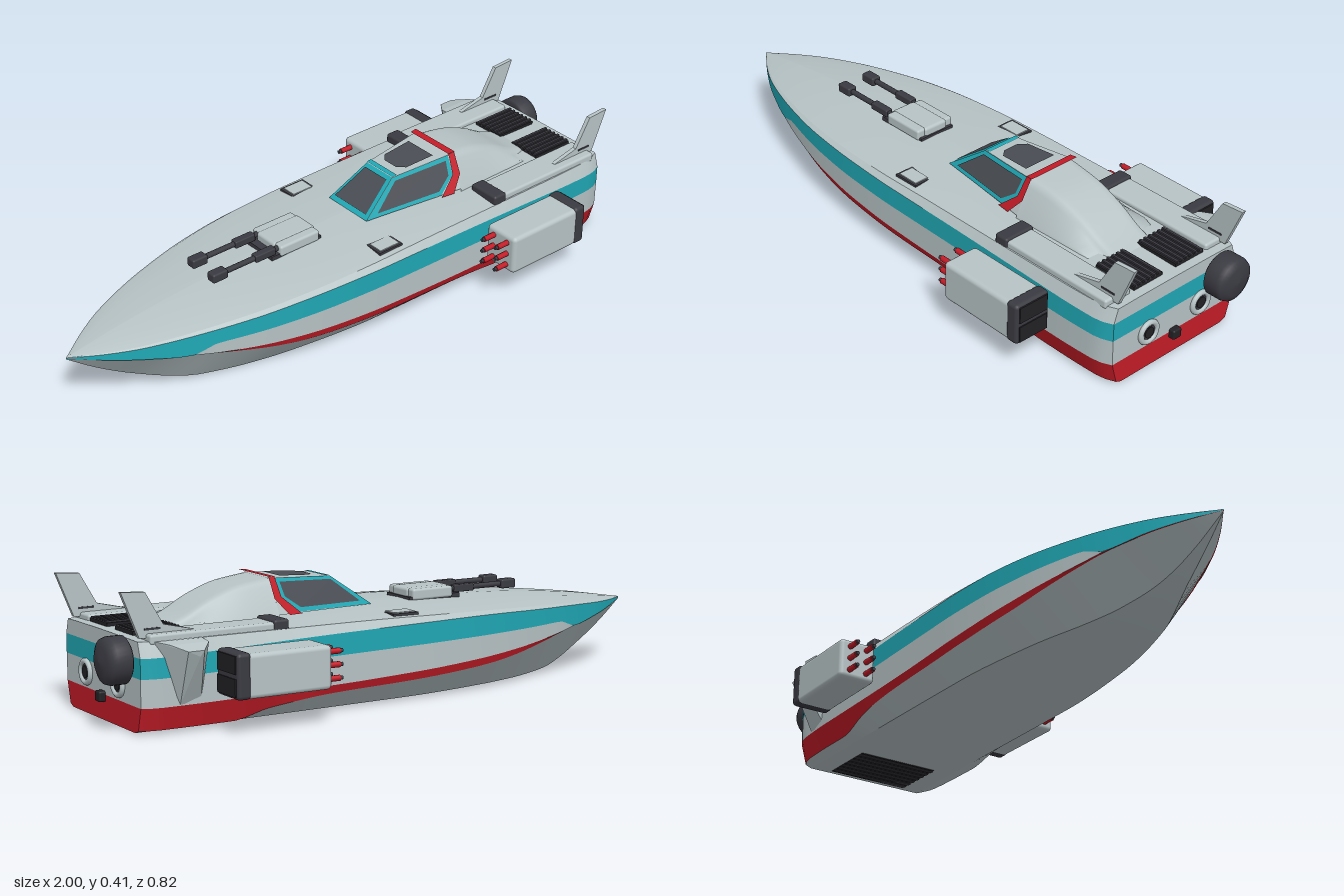
import * as THREE from 'three';
import { RoundedBoxGeometry } from 'three/addons/geometries/RoundedBoxGeometry.js';
import { ConvexGeometry } from 'three/addons/geometries/ConvexGeometry.js';

const mat = (name, color) => {
  const m = new THREE.MeshStandardMaterial({ color });
  m.name = name;
  return m;
};
const V = (x, y, z) => new THREE.Vector3(x, y, z);

// Smooth function through a few (x, value) keys, with slopes limited to avoid overshoot
function track(...k) {
  const d = k.slice(1).map((p, i) => (p[1] - k[i][1]) / (p[0] - k[i][0]));
  const m = k.map((p, i) => i === 0 ? d[0] : i === k.length - 1 ? d[i - 1]
    : d[i - 1] * d[i] <= 0 ? 0 : 2 * d[i - 1] * d[i] / (d[i - 1] + d[i]));
  return x => {
    let i = 0;
    while (i < k.length - 2 && x > k[i + 1][0]) i++;
    const h = k[i + 1][0] - k[i][0], t = Math.min(1, Math.max(0, (x - k[i][0]) / h));
    return k[i][1] * (1 + 2 * t) * (1 - t) ** 2 + k[i + 1][1] * t * t * (3 - 2 * t)
      + h * (m[i] * t * (1 - t) ** 2 - m[i + 1] * t * t * (1 - t));
  };
}

// Surface through rows of points; flip reverses the facing
function grid(rows, flip = false) {
  const n = rows[0].length, idx = [];
  for (let i = 0; i < rows.length - 1; i++) for (let j = 0; j < n - 1; j++) {
    const a = i * n + j, b = a + n, c = a + 1, d = b + 1;
    idx.push(...(flip ? [a, b, c, b, d, c] : [a, c, b, b, c, d]));
  }
  const g = new THREE.BufferGeometry().setFromPoints(rows.flat());
  g.setIndex(idx);
  g.computeVertexNormals();
  return g;
}

// Hull lines along the length
const width = track([-1, 0], [-0.9, 0.07], [-0.8, 0.125], [-0.6, 0.197], [-0.4, 0.244], [-0.2, 0.268], [0, 0.276], [0.7, 0.276], [0.86, 0.27], [0.91, 0.25]);
const deckMid = track([-1, 0.206], [-0.8, 0.237], [-0.5, 0.265], [-0.2, 0.276], [0.1, 0.281], [0.5, 0.278], [0.91, 0.27]);
const deckEdge = track([-1, 0.205], [-0.6, 0.238], [-0.2, 0.257], [0.2, 0.265], [0.91, 0.268]);
const stripeTop = track([-1, 0.204], [-0.6, 0.231], [-0.2, 0.244], [0.2, 0.24], [0.91, 0.222]);
const stripeLow = track([-1, 0.202], [-0.8, 0.176], [-0.68, 0.16], [-0.6, 0.183], [-0.3, 0.181], [0.2, 0.174], [0.91, 0.163]);
const redTop = track([-1, 0.202], [-0.8, 0.176], [-0.68, 0.16], [-0.6, 0.147], [-0.3, 0.114], [0, 0.096], [0.3, 0.086], [0.91, 0.08]);
const redLow = track([-1, 0.201], [-0.8, 0.175], [-0.68, 0.159], [-0.6, 0.143], [-0.3, 0.09], [0, 0.07], [0.3, 0.06], [0.5, 0.04], [0.62, 0.012], [0.91, 0.012]);
const keel = track([-1, 0.2], [-0.9, 0.13], [-0.8, 0.075], [-0.7, 0.036], [-0.6, 0.014], [-0.45, 0.006], [0, 0.004], [0.91, 0.004]);
const redIn = track([-1, 0.97], [0.4, 0.96], [0.62, 0.91], [0.91, 0.92]);
const flat = track([-1, 0], [-0.8, 0.035], [-0.6, 0.1], [-0.3, 0.17], [0, 0.2], [0.91, 0.21]);

function section(x) {
  const w = width(x), c = deckMid(x), e = deckEdge(x);
  return [[0, c], [w * 0.55, c - (c - e) * 0.25], [w * 0.94, e], [w, stripeTop(x)], [w, stripeLow(x)],
    [w * 0.995, redTop(x)], [w * redIn(x), redLow(x)], [flat(x), keel(x)], [0, keel(x)]];
}

export function createModel() {
  const root = new THREE.Group();
  root.name = 'patrolBoat';
  const grey = mat('hullGrey', 0xb8c4c6), teal = mat('tealPaint', 0x20a8b5), red = mat('redPaint', 0xc41c27);
  const dark = mat('darkMetal', 0x3a3a42), glass = mat('darkGlass', 0x4a4d54), black = mat('ventBlack', 0x222226);

  const add = (name, geo, m, x = 0, y = 0, z = 0) => {
    const o = new THREE.Mesh(geo, m);
    o.name = name;
    o.position.set(x, y, z);
    root.add(o);
    return o;
  };
  const box = (name, m, sx, sy, sz, x, y, z, r = 0) =>
    add(name, r ? new RoundedBoxGeometry(sx, sy, sz, 2, r) : new THREE.BoxGeometry(sx, sy, sz), m, x, y, z);
  const rod = (name, m, r, len, x, y, z, sides = 16) =>
    add(name, new THREE.CylinderGeometry(r, r, len, sides).rotateZ(-Math.PI / 2), m, x, y, z);

  // Hull: one lofted strip per paint band, closed by a matching transom
  const xs = Array.from({ length: 65 }, (_, i) => -1 + 1.91 * i / 64);
  const bands = [['deck', 0, 2, grey], ['gunwale', 2, 3, grey], ['tealStripe', 3, 4, teal], ['hullSide', 4, 5, grey],
    ['redStripe', 5, 6, red], ['chine', 6, 7, grey], ['hullBottom', 7, 8, grey]];
  for (const [name, a, b, m] of bands) {
    for (const s of [1, -1]) {
      const rows = xs.map(x => section(x).slice(a, b + 1).map(p => V(x, p[1], s * p[0])));
      add(name, grid(rows, s < 0), a === 6 ? grey : m);
    }
    const end = section(0.91).slice(a, b + 1);
    add(name + 'Transom', grid([1, -1].map(s => end.map(p => V(0.91, p[1], s * p[0])))), a === 6 ? red : m);
  }

  // Flat polygon on a four-cornered face, in face coordinates, lifted off it
  const panel = (name, m, [p00, p10, p01, p11], uv, lift, mirror) => {
    const n = p10.clone().sub(p00).cross(p01.clone().sub(p00)).normalize().multiplyScalar(lift);
    const pts = uv.map(([u, v]) => {
      const p = p00.clone().lerp(p10, u).lerp(p01.clone().lerp(p11, u), v).add(n);
      if (mirror) p.z *= -1;
      return p;
    });
    if (mirror) pts.reverse();
    const g = new THREE.BufferGeometry().setFromPoints(pts);
    g.setIndex(pts.slice(2).flatMap((_, i) => [0, i + 1, i + 2]));
    g.computeVertexNormals();
    add(name, g, m);
  };

  // Cockpit with framed windows and a red arch behind them
  const at = (p, s) => V(p[0], p[1], p[2] * s);
  const b0 = [0.05, 0.282, 0.09], b2 = [0.4, 0.285, 0.14], t0 = [0.18, 0.375, 0.06], t1 = [0.4, 0.388, 0.0856];
  const side = [at(b0, 1), at(b2, 1), at(t0, 1), at(t1, 1)];
  const front = [at(b0, -1), at(b0, 1), at(t0, -1), at(t0, 1)];
  const roof = [at(t0, 1), at(t1, 1), at(t0, -1), at(t1, -1)];
  const full = [[0, 0], [1, 0], [1, 1], [0, 1]];
  for (const mirror of [false, true]) {
    panel('cockpitSide', grey, side, full, 0, mirror);
    panel('sideWindowFrame', teal, side, [[0, 0], [0.79, 0.02], [0.95, 0.45], [0.95, 1], [0, 1]], 0.003, mirror);
    panel('sideWindow', glass, side, [[0.08, 0.12], [0.76, 0.13], [0.89, 0.47], [0.89, 0.88], [0.08, 0.88]], 0.006, mirror);
    panel('archFoot', red, side, [[0.78, -0.05], [0.91, -0.05], [1.03, 0.42], [0.94, 0.46]], 0.008, mirror);
    panel('archPost', red, side, [[0.94, 0.46], [1.03, 0.42], [1.05, 1.03], [0.95, 1.03]], 0.008, mirror);
  }
  panel('windscreenFrame', teal, front, full, 0, false);
  panel('windscreen', glass, front, [[0.07, 0.1], [0.93, 0.1], [0.9, 0.9], [0.1, 0.9]], 0.004, false);
  panel('cockpitRoof', grey, roof, full, 0, false);
  panel('roofWindowFrame', teal, roof, [[0, 0], [0.08, 0], [0.08, 1], [0, 1]], 0.003, false);
  panel('roofWindow', glass, roof, [[0.2, 0.3], [0.3, 0.12], [0.78, 0.14], [0.78, 0.86], [0.3, 0.88], [0.2, 0.7]], 0.004, false);
  panel('archTop', red, roof, [[0.95, -0.03], [1.06, -0.03], [1.06, 1.03], [0.95, 1.03]], 0.007, false);

  // Fairing sloping down behind the cockpit
  const ridge = track([0.4, 0.388], [0.5, 0.374], [0.6, 0.34], [0.69, 0.293], [0.76, 0.268]);
  for (const s of [1, -1]) {
    const rows = Array.from({ length: 19 }, (_, i) => {
      const x = 0.4 + 0.02 * i, h = ridge(x), f = 1 - 0.25 * (x - 0.4);
      return [[0, h], [0.06, h], [0.078, h - 0.002], [0.088, h - 0.008], [0.096, h - 0.02], [0.14, Math.min(0.285, h - 0.022)], [0.145, 0.25]]
        .map(p => V(x, p[1], s * p[0] * f));
    });
    add('fairing', grid(rows, s < 0), grey);
  }

  // Tail fin outline, extruded sideways
  const finShape = new THREE.Shape([[0.73, 0.275], [0.9, 0.275], [0.955, 0.41], [0.88, 0.405], [0.825, 0.31], [0.73, 0.288]]
    .map(p => new THREE.Vector2(...p)));
  const finGeo = new THREE.ExtrudeGeometry(finShape, { depth: 0.014, bevelEnabled: false });

  for (const s of [1, -1]) {
    // Deck fittings
    box('rearDeckSlab', grey, 0.42, 0.03, 0.1, 0.67, 0.272, s * 0.205, 0.008);
    add('tailFin', finGeo, grey, 0, 0, s * 0.22 - 0.007);
    box('finInset', dark, 0.05, 0.006, 0.018, 0.86, 0.3, s * 0.22);
    box('hatchRim', dark, 0.09, 0.012, 0.064, 0.02, 0.266, s * 0.21);
    box('hatchLid', grey, 0.074, 0.012, 0.05, 0.02, 0.269, s * 0.21);
    box('deckIntake', dark, 0.05, 0.035, 0.11, 0.46, 0.277, s * 0.205, 0.008);
    box('deckVent', black, 0.15, 0.014, 0.115, 0.805, 0.274, s * 0.085);
    for (let i = 0; i < 6; i++) box('ventSlat', dark, 0.15, 0.008, 0.008, 0.805, 0.282, s * (0.038 + i * 0.019));

    // Engine pod with split exhaust and red prongs
    box('podBody', grey, 0.28, 0.13, 0.125, 0.52, 0.17, s * 0.3475, 0.014);
    box('podMount', grey, 0.2, 0.08, 0.05, 0.52, 0.17, s * 0.275);
    box('podCollar', dark, 0.045, 0.134, 0.128, 0.667, 0.172, s * 0.3475, 0.012);
    for (const y of [0.14, 0.205]) box('podExhaust', black, 0.006, 0.052, 0.106, 0.69, y, s * 0.3475);
    for (const y of [0.13, 0.17, 0.21]) for (const z of [0.318, 0.377]) {
      rod('podProng', red, 0.009, 0.05, 0.362, y, s * z, 10);
      rod('prongTip', dark, 0.006, 0.012, 0.334, y, s * z, 10);
    }

    // Stern nozzles
    add('nozzleRing', new THREE.TorusGeometry(0.032, 0.009, 10, 24).rotateY(Math.PI / 2), grey, 0.913, 0.128, s * 0.108);
    rod('nozzleCore', dark, 0.029, 0.01, 0.91, 0.128, s * 0.108, 24);
    rod('nozzleThroat', black, 0.018, 0.004, 0.916, 0.128, s * 0.108, 20);

    // Twin deck guns
    rod('gunBarrel', dark, 0.009, 0.24, -0.37, 0.298, s * 0.05, 10);
    box('gunSleeve', dark, 0.075, 0.024, 0.026, -0.32, 0.298, s * 0.05, 0.004);
    box('gunMuzzle', dark, 0.055, 0.03, 0.034, -0.492, 0.298, s * 0.05, 0.006);
    box('turretCheek', grey, 0.15, 0.036, 0.036, -0.195, 0.292, s * 0.053, 0.008);
  }
  box('turretBody', grey, 0.16, 0.042, 0.09, -0.195, 0.29, 0, 0.01);
  box('turretBase', dark, 0.19, 0.02, 0.13, -0.205, 0.275, 0);

  // Single side fin
  add('sideFin', new ConvexGeometry([V(0.72, 0.268, -0.25), V(0.87, 0.268, -0.25), V(0.73, 0.085, -0.265), V(0.8, 0.085, -0.275),
    V(0.72, 0.262, -0.3), V(0.84, 0.262, -0.3), V(0.76, 0.248, -0.35), V(0.81, 0.248, -0.35), V(0.77, 0.23, -0.345)]), grey);

  // Domed drum on the stern
  const drum = [[0, 0], [0.062, 0], [0.07, 0.006], [0.07, 0.05], [0.065, 0.064], [0.045, 0.074], [0, 0.08]].map(p => new THREE.Vector2(...p));
  add('sternDrum', new THREE.LatheGeometry(drum, 32).rotateZ(-Math.PI / 2), dark, 0.92, 0.21, -0.17);
  rod('drumStalk', dark, 0.025, 0.04, 0.905, 0.21, -0.17);

  // Stern hook and underside grille
  box('sternHook', black, 0.03, 0.032, 0.034, 0.915, 0.075, 0, 0.006);
  box('bottomGrille', black, 0.2, 0.008, 0.28, 0.79, 0.006, 0);
  for (let i = 0; i < 7; i++) box('grilleSlat', dark, 0.012, 0.01, 0.28, 0.706 + i * 0.028, 0.005, 0);
  return root;
}
